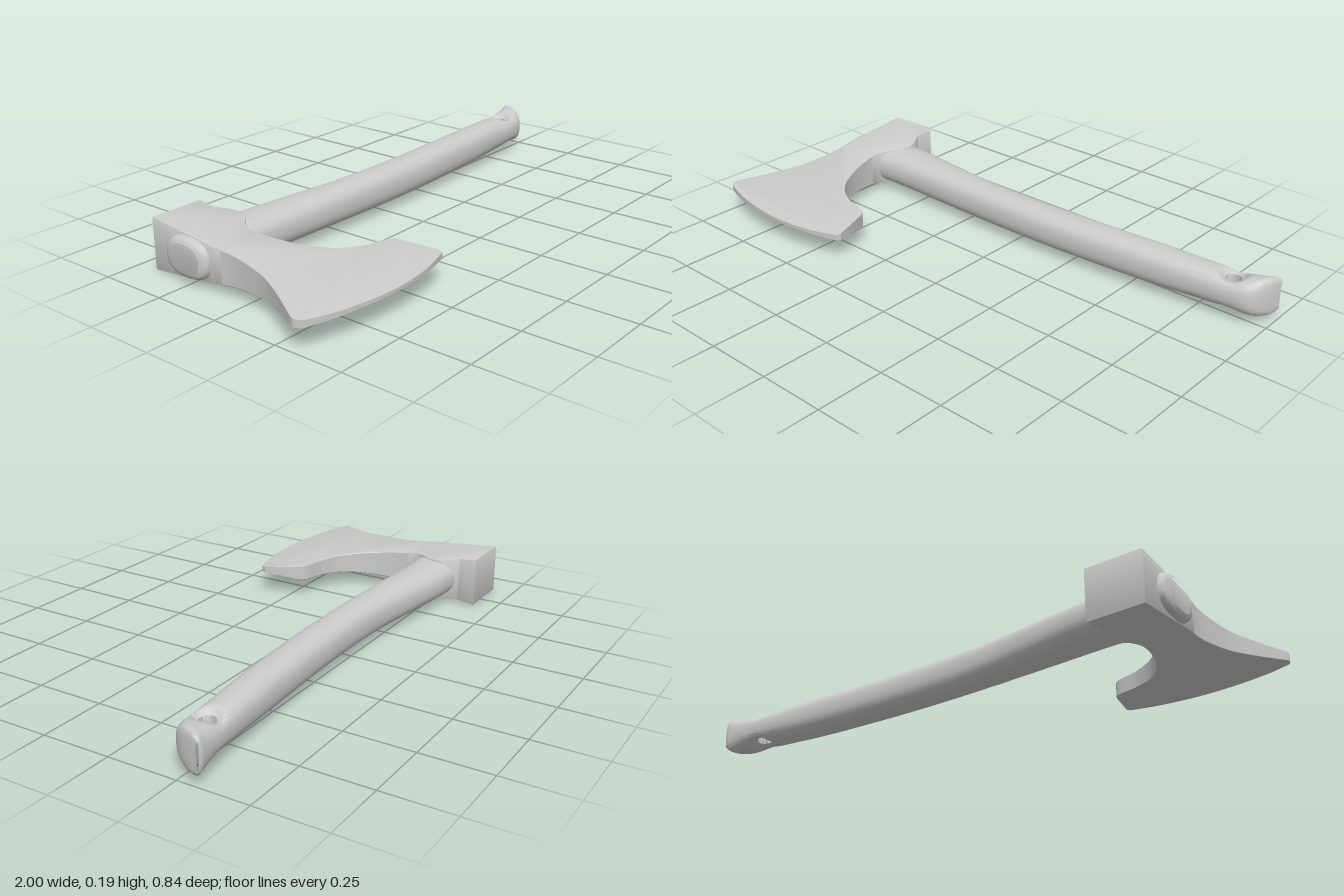
import * as THREE from 'three';
import { mergeVertices, toCreasedNormals } from 'three/addons/utils/BufferGeometryUtils.js';

const MID = 0.095; // height of the axe's middle plane
const material = new THREE.MeshStandardMaterial({ color: 0xcccccc, roughness: 0.7 });

// Head: outline seen from above, extruded and tapered into a wedge
function createHead() {
  const s = new THREE.Shape();
  const p = (x, z) => new THREE.Vector2(x, -z);
  s.moveTo(-0.868, 0.42);
  s.lineTo(-0.872, 0.15);
  s.splineThru([p(-0.865, -0.05), p(-0.888, 0.09), p(-0.935, 0.2), p(-0.99, 0.3)]);
  s.splineThru([p(-1, 0.325), p(-0.99, 0.352)]);
  s.splineThru([p(-0.9, 0.384), p(-0.77, 0.408), p(-0.64, 0.416), p(-0.5, 0.402), p(-0.375, 0.368)]);
  s.lineTo(-0.368, -0.352);
  s.lineTo(-0.402, -0.222);
  s.splineThru([p(-0.425, 0.195), p(-0.52, 0.168), p(-0.6, 0.12), p(-0.655, 0.04),
    p(-0.69, -0.06), p(-0.7, -0.14), p(-0.685, -0.185)]);
  s.splineThru([p(-0.65, -0.225), p(-0.635, -0.265), p(-0.645, -0.305), p(-0.672, -0.35)]);
  s.lineTo(-0.668, 0.42);
  s.closePath();

  const t = 0.04;
  const geo = new THREE.ExtrudeGeometry(s, {
    depth: 1, curveSegments: 28, bevelThickness: t, bevelSize: 0.006, bevelOffset: -0.006, bevelSegments: 2,
  });
  geo.rotateX(-Math.PI / 2);
  const pos = geo.attributes.position;
  for (let i = 0; i < pos.count; i++) {
    const half = 0.006 + (0.42 - pos.getZ(i)) / 0.84 * 0.088;
    const n = (pos.getY(i) + t) / (1 + 2 * t) * 2 - 1;
    pos.setY(i, MID + n * half);
  }
  geo.deleteAttribute('uv');
  geo.deleteAttribute('normal');
  return new THREE.Mesh(toCreasedNormals(geo, 0.5), material);
}

// Handle stations: x, back z, front z, half height
const STATIONS = [
  [-0.896, -0.31, -0.18, 0.05], [-0.888, -0.335, -0.158, 0.064], [-0.87, -0.342, -0.15, 0.07],
  [-0.6, -0.332, -0.155, 0.069], [-0.4, -0.308, -0.151, 0.069], [-0.2, -0.284, -0.147, 0.068],
  [0, -0.277, -0.145, 0.068], [0.2, -0.28, -0.148, 0.068], [0.4, -0.289, -0.158, 0.068],
  [0.6, -0.301, -0.172, 0.067], [0.78, -0.314, -0.187, 0.061], [0.88, -0.323, -0.195, 0.058],
  [0.94, -0.33, -0.208, 0.066], [0.97, -0.334, -0.24, 0.069], [0.99, -0.336, -0.285, 0.064],
  [1, -0.332, -0.322, 0.05],
];

// Smooth interpolation of one station column at x
function sample(x, k) {
  const S = STATIONS, last = S.length - 1;
  let i = 0;
  while (i < last - 1 && x > S[i + 1][0]) i++;
  const slope = (j) => {
    const a = S[Math.max(j - 1, 0)], b = S[Math.min(j + 1, last)];
    return (b[k] - a[k]) / (b[0] - a[0]);
  };
  const d = S[i + 1][0] - S[i][0], t = (x - S[i][0]) / d, u = 1 - t;
  return S[i][k] * u * u * (1 + 2 * t) + S[i + 1][k] * t * t * (3 - 2 * t)
    + d * t * u * (slope(i) * u - slope(i + 1) * t);
}

const POWER = 2.5; // squareness of the handle's oval section
const HOLE = { x: 0.86, z: -0.262, r: 0.028 };
const oval = (v) => Math.sign(v) * Math.abs(v) ** (2 / POWER);

function handlePoint(x, phi) {
  const back = sample(x, 1), front = sample(x, 2);
  const z = (back + front) / 2 + (front - back) / 2 * oval(Math.cos(phi));
  // dished rim around the lanyard hole
  const e = (Math.hypot(x - HOLE.x, z - HOLE.z) - HOLE.r) / 0.016;
  const dish = 1 - 0.35 * Math.exp(-e * e);
  const sin = Math.abs(Math.sin(phi)) < 1e-9 ? 0 : Math.sin(phi);
  return new THREE.Vector3(x, MID + sample(x, 3) * oval(sin) * dish, z);
}

function phiAt(x, z) {
  const back = sample(x, 1), front = sample(x, 2);
  const n = (z - (back + front) / 2) / ((front - back) / 2);
  return Math.acos(Math.sign(n) * Math.abs(n) ** (POWER / 2));
}

function createHandle() {
  const tris = [];
  const tri = (...pts) => pts.forEach((p) => tris.push(p.x, p.y, p.z));
  const skin = (rows) => {
    for (let r = 0; r + 1 < rows.length; r++) {
      for (let c = 0; c + 1 < rows[r].length; c++) {
        const [a, b, d, e] = [rows[r][c], rows[r + 1][c], rows[r + 1][c + 1], rows[r][c + 1]];
        tri(a, b, d);
        tri(a, d, e);
      }
    }
  };
  const HALF = 18, X0 = 0.78, X1 = 0.94;
  const ring = (x) => Array.from({ length: 2 * HALF + 1 }, (_, i) => handlePoint(x, (i % (2 * HALF)) / HALF * Math.PI));
  const loft = (xs) => { const rows = xs.map(ring); skin(rows); return rows; };
  const steps = (a, b, n) => Array.from({ length: n + 1 }, (_, i) => a + (b - a) * i / n);

  // Shaft and knob, with end caps
  const shaft = loft([-0.896, -0.892, -0.888, -0.88, ...steps(-0.87, X0, 44)]);
  const knob = loft([...steps(X1, 0.99, 8), 0.994, 0.997, 1]);
  const cap = (row, flip) => {
    const mid = row.slice(1).reduce((m, p) => m.add(p), new THREE.Vector3()).divideScalar(row.length - 1);
    for (let i = 0; i + 1 < row.length; i++) {
      if (flip) tri(mid, row[i + 1], row[i]);
      else tri(mid, row[i], row[i + 1]);
    }
  };
  cap(shaft[0], true);
  cap(knob[knob.length - 1], false);

  // Grip section around the hole: rings blend from the hole to the section's border
  const border = [
    ...steps(X0, X1, 16).slice(0, -1).map((x) => [x, 0]),
    ...steps(0, Math.PI, HALF).slice(0, -1).map((f) => [X1, f]),
    ...steps(X1, X0, 16).slice(0, -1).map((x) => [x, Math.PI]),
    ...steps(Math.PI, 0, HALF).map((f) => [X0, f]),
  ];
  const rim = border.map(([x, f]) => {
    const a = Math.atan2((f - Math.PI / 2) / (Math.PI / 2), (x - HOLE.x) / 0.08);
    const hx = HOLE.x + HOLE.r * Math.cos(a);
    return [hx, phiAt(hx, HOLE.z - HOLE.r * Math.sin(a))];
  });
  const top = steps(0, 1, 14).map((t) => border.map(([x, f], i) =>
    handlePoint(rim[i][0] + (x - rim[i][0]) * t, rim[i][1] + (f - rim[i][1]) * t)));
  const mirror = (row) => row.map((p) => new THREE.Vector3(p.x, 2 * MID - p.y, p.z));
  skin(top);
  skin(top.map((row) => mirror(row).reverse()));
  skin([mirror(top[0]), top[0]]); // hole wall

  const geo = new THREE.BufferGeometry();
  geo.setAttribute('position', new THREE.Float32BufferAttribute(tris, 3));
  return new THREE.Mesh(toCreasedNormals(mergeVertices(geo, 1e-5), 1), material);
}

export function createModel() {
  const axe = new THREE.Group();
  axe.name = 'axe';
  const head = createHead();
  head.name = 'axeHead';
  const handle = createHandle();
  handle.name = 'handle';
  axe.add(head, handle);
  return axe;
}
